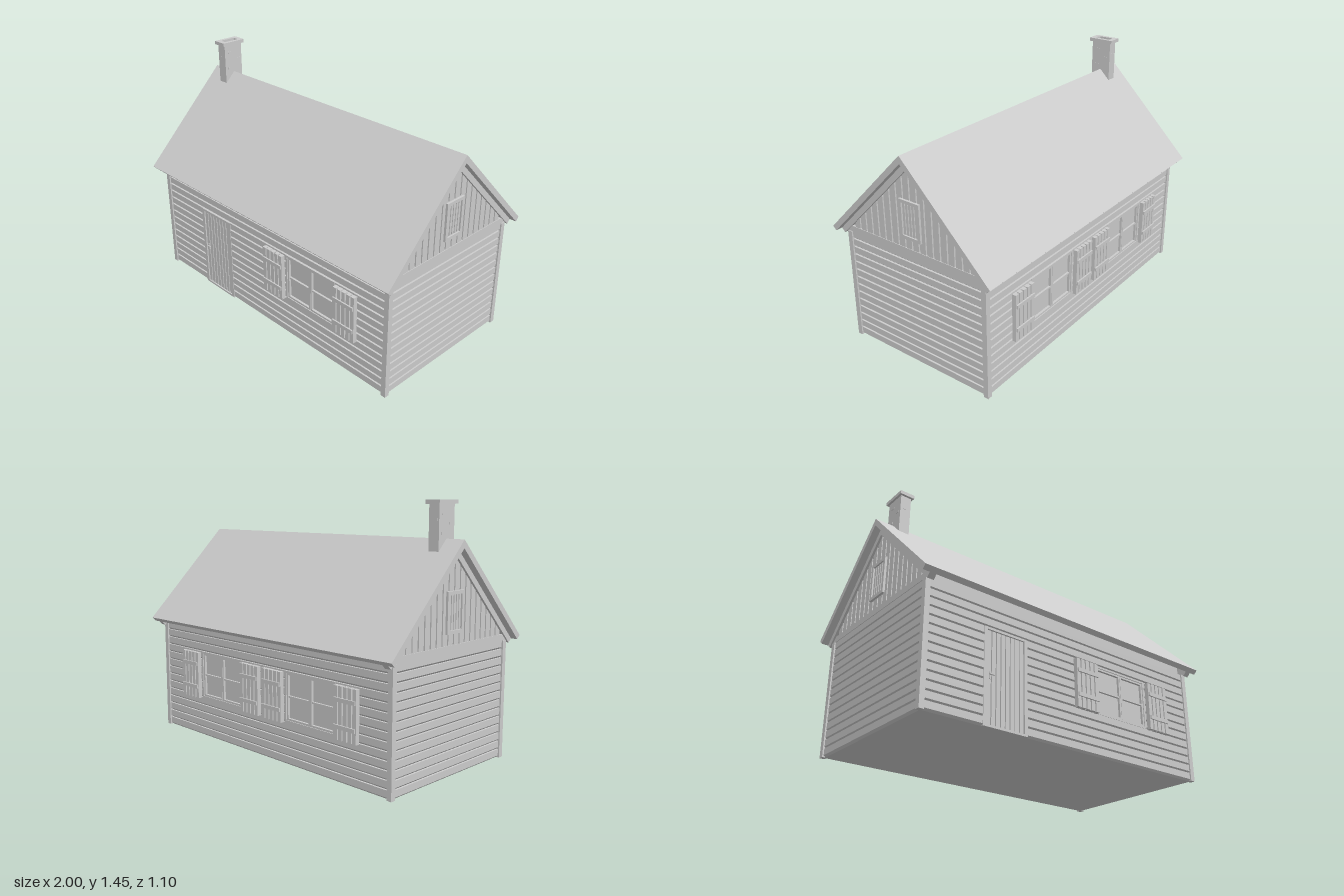
import * as THREE from 'three';

const MAT = new THREE.MeshStandardMaterial({ color: 0xcccccc, flatShading: true });
const ROW = 0.0482, ROWS = 14; // siding board height and count

function add(parent, name, geometry) {
  const m = new THREE.Mesh(geometry, MAT);
  m.name = name;
  parent.add(m);
  return m;
}

// Box given by its minimum and maximum corners
function box(parent, name, x0, x1, y0, y1, z0, z1) {
  const m = add(parent, name, new THREE.BoxGeometry(x1 - x0, y1 - y0, z1 - z0));
  m.position.set((x0 + x1) / 2, (y0 + y1) / 2, (z0 + z1) / 2);
  return m;
}

function shapeOf(points) {
  return new THREE.Shape(points.map(p => new THREE.Vector2(p[0], p[1])));
}

// Profile in (z, y), extruded along x from x0 to x1
function prismX(parent, name, points, x0, x1) {
  const g = new THREE.ExtrudeGeometry(shapeOf(points.map(([z, y]) => [-z, y])), { depth: x1 - x0, bevelEnabled: false });
  g.rotateY(Math.PI / 2);
  g.translate(x0, 0, 0);
  return add(parent, name, g);
}

function group(parent, name) {
  const g = new THREE.Group();
  g.name = name;
  parent.add(g);
  return g;
}

// Lapped siding on a wall facing +z, skipping openings {x0, x1, r0, r1} given in board rows
function siding(parent, half, z, openings) {
  for (let r = 0; r < ROWS; r++) {
    const y = r * ROW, top = y + ROW;
    const profile = [[z - 0.02, y], [z - 0.012, y], [z, y + 0.011], [z, top], [z - 0.02, top]];
    let x = -half;
    for (const o of openings) {
      if (r < o.r0 || r >= o.r1) continue;
      prismX(parent, 'sidingBoard', profile, x, o.x0);
      x = o.x1;
    }
    prismX(parent, 'sidingBoard', profile, x, half);
  }
}

// Upright planks with gaps over a thin backing
function planks(parent, name, x0, x1, y0, y1, z0, z1, n, gap) {
  box(parent, name + 'Backing', x0 + 0.002, x1 - 0.002, y0 + 0.002, y1 - 0.002, z0, z0 + (z1 - z0) * 0.4);
  const w = (x1 - x0 + gap) / n;
  for (let i = 0; i < n; i++) box(parent, name + 'Plank', x0 + i * w, x0 + (i + 1) * w - gap, y0, y1, z0, z1);
}

// Rectangular frame made of four bars
function frame(parent, name, x0, x1, y0, y1, z0, z1, t) {
  box(parent, name, x0, x0 + t, y0, y1, z0, z1);
  box(parent, name, x1 - t, x1, y0, y1, z0, z1);
  box(parent, name, x0 + t, x1 - t, y0, y0 + t, z0, z1);
  box(parent, name, x0 + t, x1 - t, y1 - t, y1, z0, z1);
}

function addWindow(parent, cx) {
  const w = group(parent, 'window');
  w.position.x = cx;
  const y0 = 5 * ROW, y1 = 11 * ROW;
  frame(w, 'windowFrame', -0.195, 0.195, y0, y1, 0.455, 0.479, 0.012);
  // Two casements, each with a cross bar
  for (const s of [-1, 1]) {
    const a = s < 0 ? -0.183 : 0.001, b = s < 0 ? -0.001 : 0.183;
    frame(w, 'sash', a, b, y0 + 0.012, y1 - 0.012, 0.455, 0.474, 0.011);
    box(w, 'glazingBar', a + 0.011, b - 0.011, 0.381, 0.391, 0.455, 0.472);
  }
  // Plank shutters with battens
  for (const [a, b] of [[-0.362, -0.203], [0.203, 0.358]]) {
    const s = group(w, 'shutter');
    planks(s, 'shutter', a, b, 0.238, 0.522, 0.478, 0.503, 5, 0.008);
    for (const y of [0.31, 0.452]) box(s, 'batten', a + 0.004, b - 0.004, y - 0.011, y + 0.011, 0.5, 0.511);
  }
}

function addDoor(parent) {
  const d = group(parent, 'door');
  const x0 = -0.592, x1 = -0.315, top = 11 * ROW;
  box(d, 'doorFrame', x0, -0.572, 0, top, 0.455, 0.48);
  box(d, 'doorFrame', -0.335, x1, 0, top, 0.455, 0.48);
  box(d, 'doorFrame', -0.572, -0.335, 0.517, top, 0.455, 0.48);
  box(d, 'threshold', -0.572, -0.335, 0, 0.012, 0.455, 0.48);
  planks(d, 'door', -0.569, -0.338, 0.014, 0.515, 0.457, 0.474, 8, 0.006);
  box(d, 'handlePlate', -0.556, -0.546, 0.25, 0.29, 0.472, 0.478);
  box(d, 'handle', -0.556, -0.53, 0.272, 0.279, 0.478, 0.486);
}

// Gable end facing +z: siding, band, upright boards and a louvred vent
function addGableEnd(parent) {
  siding(parent, 0.456, 0.947, []);
  box(parent, 'gableBand', -0.484, 0.484, ROWS * ROW, 0.71, 0.925, 0.95);
  const step = 0.048, gap = 0.009;
  for (let i = -10; i < 10; i++) {
    const a = i * step + gap / 2, b = (i + 1) * step - gap / 2;
    const ya = 1.18 - Math.abs(a), yb = 1.18 - Math.abs(b);
    if (Math.min(ya, yb) < 0.715) continue;
    const g = new THREE.ExtrudeGeometry(shapeOf([[a, 0.705], [b, 0.705], [b, yb], [a, ya]]), { depth: 0.017, bevelEnabled: false });
    add(parent, 'gableBoard', g).position.z = 0.93;
  }
  const v = group(parent, 'gableVent');
  frame(v, 'ventFrame', -0.07, 0.07, 0.77, 0.99, 0.93, 0.96, 0.018);
  planks(v, 'vent', -0.05, 0.05, 0.788, 0.972, 0.936, 0.952, 5, 0.006);
}

// Ring-shaped block with an oblong flue, standing from y0 to y1
function flueBlock(parent, name, hx, hz, y0, y1) {
  const s = shapeOf([[-hx, -hz], [hx, -hz], [hx, hz], [-hx, hz]]);
  const h = new THREE.Path(), r = 0.012, a = 0.021, b = 0.05;
  h.absarc(a - r, b - r, r, 0, Math.PI / 2);
  h.absarc(r - a, b - r, r, Math.PI / 2, Math.PI);
  h.absarc(r - a, r - b, r, Math.PI, Math.PI * 1.5);
  h.absarc(a - r, r - b, r, Math.PI * 1.5, Math.PI * 2);
  s.holes.push(h);
  const g = new THREE.ExtrudeGeometry(s, { depth: y1 - y0, bevelEnabled: false, curveSegments: 4 });
  g.rotateX(-Math.PI / 2);
  add(parent, name, g).position.y = y0;
}

export function createModel() {
  const house = new THREE.Group();
  house.name = 'house';

  // Solid core under the roof
  prismX(house, 'core', [[-0.46, 0], [0.46, 0], [0.46, 0.735], [0, 1.195], [-0.46, 0.735]], -0.934, 0.934);

  // Long walls: one window and a door in front, two windows behind
  const win = c => ({ x0: c - 0.195, x1: c + 0.195, r0: 5, r1: 11 });
  const front = group(house, 'frontWall');
  siding(front, 0.926, 0.477, [{ x0: -0.592, x1: -0.315, r0: 0, r1: 11 }, win(0.378)]);
  addDoor(front);
  addWindow(front, 0.378);
  const back = group(house, 'backWall');
  back.rotation.y = Math.PI;
  siding(back, 0.926, 0.477, [win(-0.378), win(0.378)]);
  addWindow(back, -0.378);
  addWindow(back, 0.378);

  for (const s of [-1, 1]) {
    const end = group(house, s > 0 ? 'leftGable' : 'rightGable');
    end.rotation.y = s * Math.PI / 2;
    addGableEnd(end);
    // Corner boards
    for (const t of [-1, 1]) {
      const c = box(house, 'cornerBoard', -0.015, 0.015, 0, ROWS * ROW, -0.015, 0.015);
      c.position.x = s * 0.94;
      c.position.z = t * 0.47;
    }
    // Bargeboards under the roof edge
    prismX(house, 'bargeboards', [[0, 1.206], [-0.526, 0.68], [-0.504, 0.658], [0, 1.162], [0.504, 0.658], [0.526, 0.68]],
      s > 0 ? 0.922 : -0.96, s > 0 ? 0.96 : -0.922);
  }

  // Roof with square-cut eaves
  prismX(house, 'roof', [[0, 1.25], [-0.549, 0.701], [-0.527, 0.679], [0, 1.206], [0.527, 0.679], [0.549, 0.701]], -1, 1);

  // Hollow chimney with a cap and a few raised bricks
  const chimney = group(house, 'chimney');
  chimney.position.x = -0.856;
  flueBlock(chimney, 'stack', 0.032, 0.064, 1.17, 1.425);
  flueBlock(chimney, 'cap', 0.044, 0.079, 1.425, 1.446);
  for (const s of [-1, 1]) {
    for (const [y, z] of [[1.27, 0.03], [1.32, -0.035], [1.37, 0.02]]) {
      box(chimney, 'brick', s * 0.032 - 0.002, s * 0.032 + 0.002, y, y + 0.014, z * s - 0.016, z * s + 0.016);
    }
    box(chimney, 'brick', -0.02, 0.01, 1.34, 1.354, s * 0.064 - 0.002, s * 0.064 + 0.002);
  }
  return house;
}
